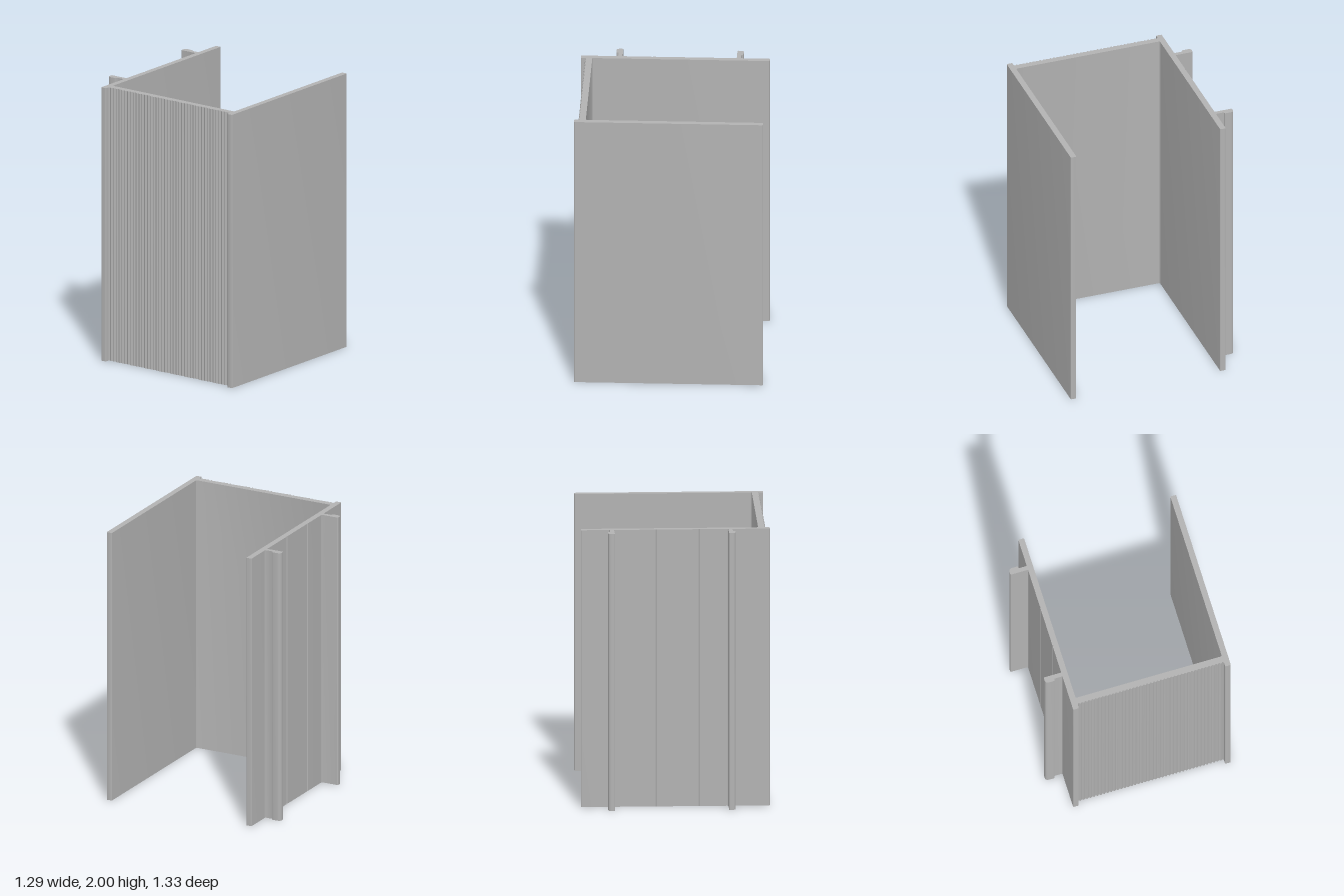
import * as THREE from 'three';
import { toCreasedNormals } from 'three/addons/utils/BufferGeometryUtils.js';

const HEIGHT = 2;
const LEFT_OUT = -0.517, LEFT_IN = -0.475;   // wall on the -x side
const RIGHT_IN = 0.6, RIGHT_OUT = 0.642;     // wall on the +x side
const DEPTH = 0.665;

const aluminium = new THREE.MeshStandardMaterial({ color: 0xb2b2b2 });
aluminium.name = 'grey aluminium';

// Plan outline from [x, z, cornerRadius] points; a shape's y is -z
function outline(points) {
  const shape = new THREE.Shape();
  const n = points.length;
  const v = points.map(([x, z]) => new THREE.Vector2(x, -z));
  points.forEach(([, , r = 0], i) => {
    const p = v[i];
    const a = v[(i + n - 1) % n].clone().sub(p).setLength(r).add(p);
    const b = v[(i + 1) % n].clone().sub(p).setLength(r).add(p);
    if (i === 0) shape.moveTo(a.x, a.y);
    else shape.lineTo(a.x, a.y);
    if (r > 0) shape.quadraticCurveTo(p.x, p.y, b.x, b.y);
  });
  shape.closePath();
  return shape;
}

// Stand a plan outline up to the full height
function extrusion(name, points) {
  const geometry = new THREE.ExtrudeGeometry(outline(points), {
    depth: HEIGHT, bevelEnabled: false, curveSegments: 5,
  });
  geometry.rotateX(-Math.PI / 2);
  const mesh = new THREE.Mesh(toCreasedNormals(geometry, 0.6), aluminium);
  mesh.name = name;
  return mesh;
}

export function createModel() {
  const group = new THREE.Group();
  group.name = 'channelProfile';
  const r = 0.007;

  // Plain wall
  group.add(extrusion('rightWall', [
    [RIGHT_IN, -DEPTH, r], [RIGHT_OUT, -DEPTH, r],
    [RIGHT_OUT, DEPTH, r], [RIGHT_IN, DEPTH, r],
  ]));

  // Wall with two small V grooves on its outer face
  const grooves = [0.165, -0.137].flatMap((z) => [
    [LEFT_OUT, z + 0.007], [LEFT_OUT + 0.006, z], [LEFT_OUT, z - 0.007],
  ]);
  group.add(extrusion('leftWall', [
    [LEFT_OUT, -DEPTH, r], [LEFT_IN, -DEPTH, r],
    [LEFT_IN, DEPTH, r], [LEFT_OUT, DEPTH, r], ...grooves,
  ]));

  // Front panel: filleted into the walls, finely ribbed outside
  const f = 0.008, ribs = 42, steps = 8;
  const back = 0.584, start = LEFT_IN + f, end = RIGHT_IN - f;
  const panel = [
    [LEFT_IN, back - f], [LEFT_IN + f * 0.3, back - f * 0.3], [start, back],
    [end, back], [RIGHT_IN - f * 0.3, back - f * 0.3], [RIGHT_IN, back - f],
    [RIGHT_IN, 0.636],
  ];
  for (let i = ribs * steps; i >= 0; i--) {
    const x = start + (end - start) * i / (ribs * steps);
    panel.push([x, 0.631 - 0.004 * Math.cos(i / steps * Math.PI * 2)]);
  }
  panel.push([LEFT_IN, 0.636]);
  group.add(extrusion('ribbedFrontPanel', panel));

  // Hooked rails on the outer wall, mirrored; side is the way the hook points
  for (const [name, z, side] of [['rearHookRail', -0.431, -1], ['frontHookRail', 0.373, 1]]) {
    const at = (x, d, radius) => [x, z + side * d, radius];
    group.add(extrusion(name, [
      at(LEFT_OUT, -0.008), at(LEFT_OUT - 0.002, -0.002), at(LEFT_OUT - 0.008, 0),
      at(-0.646, 0, 0.008), at(-0.646, 0.046, 0.024),
      at(-0.577, 0.046, 0.008), at(-0.577, 0.03, 0.004),
      at(LEFT_OUT - 0.008, 0.03), at(LEFT_OUT - 0.002, 0.032), at(LEFT_OUT, 0.038),
    ]));
  }

  return group;
}
